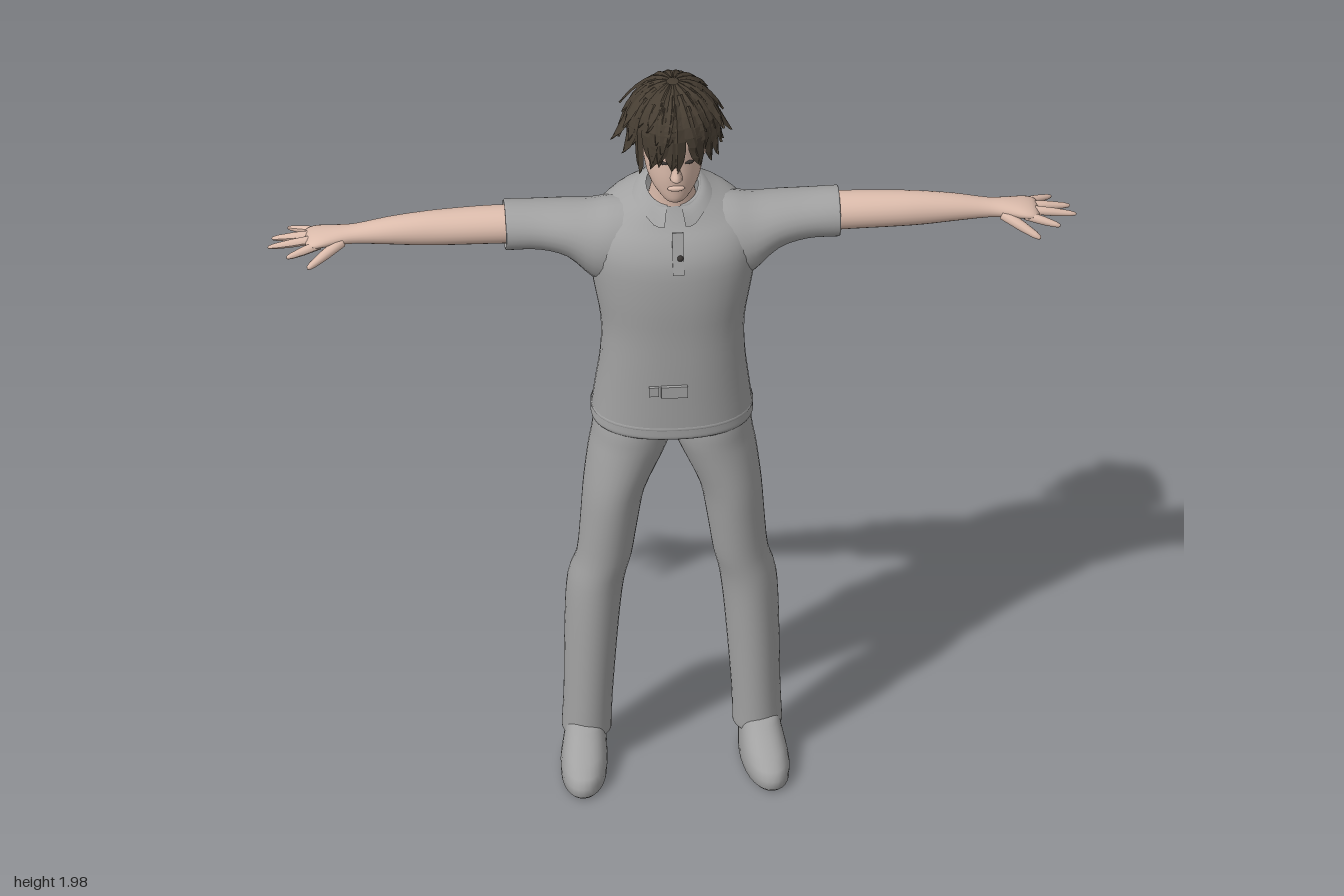
import * as THREE from 'three';
import { mergeGeometries } from 'three/addons/utils/BufferGeometryUtils.js';

const mat = (name, color, side = THREE.FrontSide) => {
  const m = new THREE.MeshStandardMaterial({ color, side });
  m.name = name;
  return m;
};

// Surface from rows x cols points; closed joins the last column to the first
function grid(rows, cols, closed, fn) {
  const pos = [], idx = [];
  for (let i = 0; i < rows; i++) for (let j = 0; j < cols; j++) pos.push(...fn(i, j));
  for (let i = 0; i < rows - 1; i++) for (let j = 0; j < (closed ? cols : cols - 1); j++) {
    const k = (j + 1) % cols, a = i * cols + j, b = i * cols + k, c = a + cols, d = b + cols;
    idx.push(a, c, b, b, c, d);
  }
  const g = new THREE.BufferGeometry();
  g.setAttribute('position', new THREE.Float32BufferAttribute(pos, 3));
  g.setIndex(idx);
  g.computeVertexNormals();
  return g;
}

// Smoothly interpolated copies of the cross-sections
function refine(s, sub) {
  const out = [], at = i => s[Math.max(0, Math.min(s.length - 1, i))];
  for (let i = 0; i < s.length - 1; i++) for (let k = 0; k < sub; k++) {
    const t = k / sub;
    out.push(s[i].map((p, n) => {
      const q = at(i + 1)[n], m0 = (q - at(i - 1)[n]) / 2, m1 = (at(i + 2)[n] - p) / 2;
      return p + m0 * t + (3 * (q - p) - 2 * m0 - m1) * t * t + (2 * (p - q) + m0 + m1) * t * t * t;
    }));
  }
  out.push(s[s.length - 1]);
  return out;
}
const pw = (v, e) => Math.sign(v) * Math.abs(v) ** e;

// Upright loft: [y, centre x, centre z, radius x, radius z, forward tilt]
function loftY(sections, sub = 3, e = 1, shear = 0, n = 32) {
  const s = refine(sections, sub);
  return grid(s.length, n, true, (i, j) => {
    const [y, cx, cz, rx, rz, tilt = 0] = s[i], a = j / n * Math.PI * 2;
    const dz = Math.max(rz, 0) * pw(Math.sin(a), e);
    return [cx + Math.max(rx, 0) * pw(Math.cos(a), e) + shear * (cz + dz), y - tilt * dz, cz + dz];
  });
}
// Sideways loft: [x, centre y, centre z, radius y, radius z]
function loftX(sections, sub = 3, n = 24) {
  const s = refine(sections, sub);
  return grid(s.length, n, true, (i, j) => {
    const [x, cy, cz, ry, rz] = s[i], a = j / n * Math.PI * 2;
    return [x, cy + Math.max(ry, 0) * Math.sin(a), cz + Math.max(rz, 0) * Math.cos(a)];
  });
}
function mirrored(geo) {
  const g = geo.clone().scale(-1, 1, 1), ix = g.index.array;
  for (let i = 0; i < ix.length; i += 3) [ix[i], ix[i + 1]] = [ix[i + 1], ix[i]];
  g.computeVertexNormals();
  return g;
}
// Rounded tapering rod between two points
function digit(a, b, r0, r1) {
  const A = new THREE.Vector3(...a), D = new THREE.Vector3(...b).sub(A), L = D.length();
  const prof = [[0, 0], [r0, 0.002], [(r0 + r1) / 2 + 0.001, L * 0.5], [r1, L * 0.85], [r1 * 0.6, L * 0.97], [0, L]];
  const g = new THREE.LatheGeometry(prof.map(p => new THREE.Vector2(...p)), 10);
  g.applyQuaternion(new THREE.Quaternion().setFromUnitVectors(new THREE.Vector3(0, 1, 0), D.normalize()));
  return g.translate(...a);
}

export function createModel() {
  const model = new THREE.Group();
  model.name = 'figure';
  const skin = mat('skin', 0xdcbcac), cloth = mat('grey cloth', 0xa2a2a2, THREE.DoubleSide);
  const hair = mat('brown hair', 0x463d32, THREE.DoubleSide), dark = mat('dark detail', 0x3a3634);
  const add = (name, geo, m) => {
    const o = new THREE.Mesh(geo, m);
    o.name = name;
    model.add(o);
    return o;
  };
  const pair = (name, geo, m) => {
    add('left' + name, geo, m);
    add('right' + name, mirrored(geo), m);
  };
  const box = (name, size, at, m, ry = 0) => {
    const o = add(name, new THREE.BoxGeometry(...size), m);
    o.position.set(...at);
    o.rotation.y = ry;
  };

  // Shirt
  add('shirt', loftY([
    [1.03, 0, -0.04, 0.18, 0.125, 0], [1.0, 0, -0.04, 0.193, 0.136, 0], [1.005, 0, -0.04, 0.2, 0.142, 0],
    [1.025, 0, -0.038, 0.198, 0.141, 0], [1.1, 0, -0.03, 0.189, 0.136, 0], [1.2, 0, -0.015, 0.178, 0.125, 0],
    [1.3, 0, -0.015, 0.178, 0.128, 0], [1.4, 0, -0.02, 0.195, 0.138, 0], [1.5, 0, -0.025, 0.21, 0.138, 0],
    [1.57, 0, -0.035, 0.2, 0.125, 0.1], [1.615, 0, -0.042, 0.155, 0.105, 0.2],
    [1.645, 0, -0.04, 0.105, 0.085, 0.25], [1.668, 0, -0.035, 0.07, 0.07, 0.35]], 3, 0.88, 0, 40), cloth);
  pair('Sleeve', loftX([
    [0.1, 1.51, -0.035, 0.12, 0.095], [0.15, 1.512, -0.035, 0.115, 0.098], [0.2, 1.518, -0.037, 0.1, 0.095],
    [0.26, 1.546, -0.042, 0.07, 0.084], [0.33, 1.556, -0.046, 0.06, 0.073], [0.4, 1.557, -0.047, 0.062, 0.068],
    [0.411, 1.557, -0.047, 0.061, 0.067], [0.409, 1.557, -0.047, 0.056, 0.062], [0.37, 1.557, -0.047, 0.053, 0.058]]), cloth);

  // Turned-down collar, longer towards its front points
  add('collar', grid(4, 41, false, (i, j) => {
    const a = (j / 40 * 2 - 1) * 2.88, t = i / 3, c = Math.cos(a);
    const point = Math.max(0, Math.abs(a) - 1.9) ** 2 * (1 - Math.max(0, Math.abs(a) - 2.6) * 2);
    const r = 0.062 + 0.034 * t, y0 = 1.668 + 0.024 * c;
    return [r * 1.03 * Math.sin(a), y0 + 0.006 * Math.sin(t * 3) - t * (0.022 + 0.045 * point), -0.033 - (r + 0.004) * c + 0.012 * t * point];
  }), cloth);
  box('placket', [0.028, 0.11, 0.006], [0.005, 1.545, 0.1], cloth);
  model.getObjectByName('placket').rotation.x = -0.28;
  add('button', new THREE.SphereGeometry(0.008, 10, 8).translate(0.01, 1.535, 0.105), dark);

  // Waist tabs, front and back
  box('frontTab', [0.065, 0.032, 0.014], [-0.005, 1.148, 0.11], cloth);
  box('frontTabEnd', [0.025, 0.026, 0.012], [-0.055, 1.148, 0.106], cloth);
  box('backTab', [0.1, 0.03, 0.014], [0, 1.145, -0.154], cloth);
  for (const s of [-1, 1]) box('backPocketFlap', [0.06, 0.026, 0.012], [s * 0.1, 1.13, -0.139], cloth, -s * 0.35);
  add('hemSeam', loftY([[1.027, 0, -0.038, 0.199, 0.142], [1.031, 0, -0.038, 0.2005, 0.1435],
    [1.035, 0, -0.037, 0.198, 0.141]], 1, 0.88, 0, 40), cloth);

  // Trousers and shoes
  pair('TrouserLeg', loftY([
    [1.08, 0.088, -0.035, 0.085, 0.105], [1.0, 0.095, -0.037, 0.097, 0.117], [0.95, 0.101, -0.036, 0.098, 0.115],
    [0.9, 0.115, -0.034, 0.093, 0.111], [0.8, 0.143, -0.028, 0.077, 0.102], [0.7, 0.156, -0.024, 0.071, 0.089],
    [0.6, 0.168, -0.025, 0.068, 0.079], [0.52, 0.187, -0.041, 0.07, 0.089], [0.4, 0.197, -0.042, 0.067, 0.087],
    [0.2, 0.206, -0.035, 0.061, 0.075], [0.12, 0.209, -0.036, 0.061, 0.074], [0.085, 0.21, -0.037, 0.061, 0.073],
    [0.09, 0.21, -0.037, 0.052, 0.064]].reverse()), cloth);
  pair('Shoe', loftY([
    [0, 0.219, 0.03, 0, 0], [0, 0.219, 0.03, 0.05, 0.14], [0.008, 0.219, 0.03, 0.057, 0.149],
    [0.03, 0.219, 0.03, 0.058, 0.15], [0.05, 0.218, 0.025, 0.056, 0.142], [0.07, 0.217, 0.007, 0.053, 0.122],
    [0.09, 0.216, -0.014, 0.05, 0.1], [0.11, 0.215, -0.028, 0.048, 0.083], [0.13, 0.213, -0.035, 0.043, 0.065],
    [0.135, 0.212, -0.035, 0, 0]], 1, 0.9, 0.08), cloth);

  // Arms, palms and fingers
  pair('Arm', loftX([
    [0.34, 1.558, -0.046, 0.048, 0.05], [0.45, 1.559, -0.047, 0.047, 0.05], [0.55, 1.558, -0.046, 0.045, 0.046],
    [0.62, 1.557, -0.045, 0.042, 0.041], [0.7, 1.555, -0.045, 0.034, 0.035], [0.78, 1.55, -0.045, 0.024, 0.028],
    [0.83, 1.548, -0.045, 0.021, 0.035], [0.87, 1.545, -0.045, 0.018, 0.045], [0.895, 1.541, -0.045, 0.013, 0.043],
    [0.905, 1.54, -0.045, 0, 0.03]]), skin);
  const fingers = [
    [[0.865, 1.541, -0.077], [0.942, 1.524, -0.122], 0.011],
    [[0.875, 1.543, -0.058], [0.985, 1.525, -0.075], 0.012],
    [[0.88, 1.543, -0.037], [0.998, 1.526, -0.034], 0.012],
    [[0.87, 1.541, -0.016], [0.955, 1.523, 0.012], 0.012],
    [[0.815, 1.542, -0.025], [0.905, 1.502, 0.033], 0.015]];
  pair('Fingers', mergeGeometries(fingers.map(([a, b, r]) => digit(a, b, r, r * 0.62))), skin);

  // Neck and head
  add('neck', loftY([[1.58, 0, -0.035, 0.07, 0.07], [1.64, 0, -0.03, 0.059, 0.062],
    [1.69, 0, -0.017, 0.052, 0.055], [1.76, 0, -0.015, 0.052, 0.055]]), skin);
  add('head', loftY([
    [1.685, 0, 0.062, 0, 0], [1.686, 0, 0.062, 0.02, 0.02], [1.7, 0, 0.046, 0.037, 0.05],
    [1.73, 0, 0.022, 0.06, 0.08], [1.77, 0, 0.008, 0.072, 0.1], [1.82, 0, -0.004, 0.078, 0.114],
    [1.88, 0, -0.007, 0.082, 0.12], [1.93, 0, -0.01, 0.07, 0.1], [1.965, 0, -0.01, 0.03, 0.05],
    [1.97, 0, -0.01, 0, 0]]), skin);
  add('nose', loftY([[1.767, 0, 0.1, 0, 0], [1.77, 0, 0.104, 0.014, 0.02], [1.778, 0, 0.107, 0.015, 0.026],
    [1.8, 0, 0.105, 0.009, 0.018], [1.83, 0, 0.104, 0.006, 0.01]], 2, 1, 0, 12), skin);
  add('lips', new THREE.SphereGeometry(1, 14, 8).scale(0.022, 0.008, 0.008).translate(0, 1.741, 0.103), skin);
  pair('Ear', new THREE.SphereGeometry(1, 12, 10).scale(0.01, 0.03, 0.019).rotateZ(-0.2).translate(0.079, 1.795, -0.01), skin);
  pair('Eye', new THREE.SphereGeometry(1, 10, 6).scale(0.013, 0.005, 0.004).rotateY(0.3).translate(0.032, 1.815, 0.1), dark);

  // Hair: a close cap under layered locks that fall from the crown
  const cap = new THREE.SphereGeometry(1, 24, 12, 0, Math.PI * 2, 0, Math.PI * 0.58);
  add('hairCap', cap.rotateX(-0.38).scale(0.1, 0.105, 0.118).translate(0, 1.872, -0.014), hair);
  let seed = 7;
  const rnd = () => (seed = (seed * 16807) % 2147483647) / 2147483647;
  const lock = (phi, th0, th1, w, flare, sweep) => grid(7, 3, false, (i, j) => {
    const t = i / 6, u = j - 1, th = th0 + (th1 - th0) * t, p = phi + sweep * t * t;
    const h = Math.sin(Math.min(th, 1.7)) * (1.05 + flare * t * t * t) + (u ? 0 : 0.05);
    const width = u * w * (0.6 + 0.8 * t) * (1 - t ** 4 * 0.9);
    return [0.102 * h * Math.sin(p) + Math.cos(p) * width, 1.871 + (u ? 0.107 : 0.113) * Math.cos(th),
      -0.012 + 0.122 * h * Math.cos(p) - Math.sin(p) * width];
  }).toNonIndexed();
  const locks = [];
  for (let k = 0; k < 48; k++) {
    const layer = k % 3, phi = k / 48 * Math.PI * 2 + rnd() * 0.25, front = Math.cos(phi);
    const end = [1.3, 1.75, 2.15][layer] + rnd() * 0.25 - (front > 0.3 && layer === 2 ? 0.1 : 0);
    locks.push(lock(phi, 0.1 + layer * 0.3, end, 0.02 + rnd() * 0.008, front > 0.5 ? 0.04 : 0.08 + rnd() * 0.22, (rnd() - 0.5) * 0.7));
  }
  // Long side strand and flicked tips
  locks.push(lock(-1.0, 0.8, 2.75, 0.017, 0.02, 0.1), lock(-1.45, 0.7, 1.8, 0.022, 0.5, 0.1),
    lock(1.5, 0.7, 1.75, 0.022, 0.36, -0.1), lock(0.02, 0.6, 2.3, 0.022, 0.02, 0), lock(-0.5, 0.6, 2.15, 0.022, 0.02, 0.1));
  const hairGeo = mergeGeometries(locks);
  hairGeo.computeVertexNormals();
  add('hairLocks', hairGeo, hair);
  return model;
}
